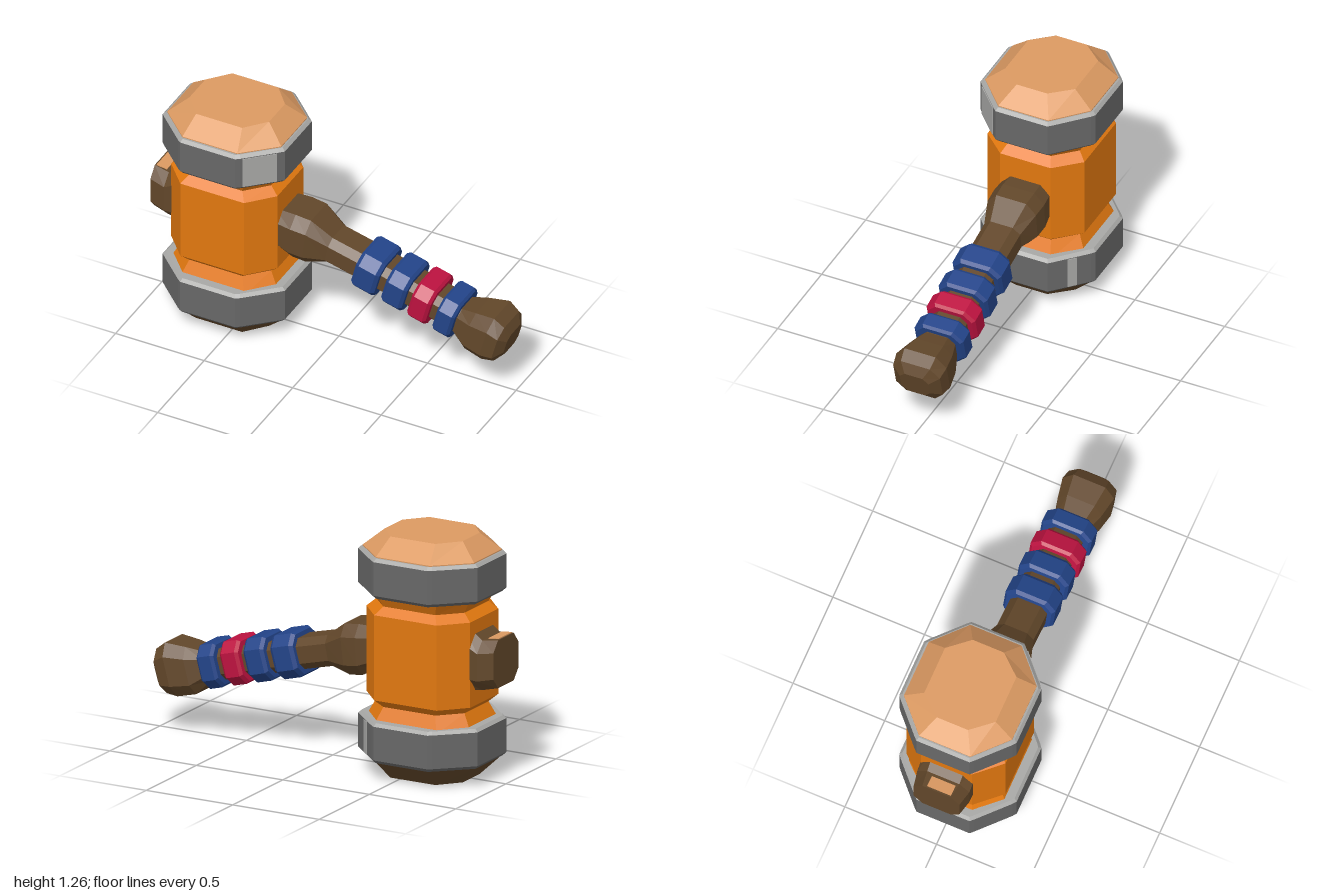
import * as THREE from 'three';

const flat = (name, color, opts = {}) => {
  const m = new THREE.MeshStandardMaterial({ color, flatShading: true, ...opts });
  m.name = name;
  return m;
};

// Mirrors a quadrant of [across, along] points into a full closed outline
function outline(q) {
  const r = [...q].reverse();
  return [
    ...q,
    ...r.map(([a, b]) => [a, -b]),
    ...q.map(([a, b]) => [-a, -b]),
    ...r.map(([a, b]) => [-a, b]),
  ];
}

// Skins a closed solid over a list of point rings
function loft(rings) {
  const pos = [];
  const tri = (...pts) => pts.forEach((p) => pos.push(p.x, p.y, p.z));
  const n = rings[0].length;
  for (let s = 0; s < rings.length - 1; s++) {
    for (let i = 0; i < n; i++) {
      const j = (i + 1) % n;
      const [a, b, c, d] = [rings[s][i], rings[s][j], rings[s + 1][j], rings[s + 1][i]];
      tri(a, b, c);
      tri(a, c, d);
    }
  }
  const first = rings[0], last = rings[rings.length - 1];
  for (let i = 1; i < n - 1; i++) {
    tri(first[0], first[i + 1], first[i]);
    tri(last[0], last[i], last[i + 1]);
  }
  const g = new THREE.BufferGeometry();
  g.setAttribute('position', new THREE.Float32BufferAttribute(pos, 3));
  g.computeVertexNormals();
  return g;
}

// Horizontal ring for the head
const level = (y, q) => outline(q).map(([x, z]) => new THREE.Vector3(x, y, z));
const scaled = (q, s) => q.map(([x, z]) => [x * s, z * s]);

// Octagonal ring across the handle: position, tilt, half height, half depth
function across([x, y, tilt, h, d]) {
  return outline([[d * 0.62, h], [d, h * 0.55]]).map(([z, v]) =>
    new THREE.Vector3(x - Math.sin(tilt) * v, y + Math.cos(tilt) * v, z));
}

export function createModel() {
  const orange = flat('orange paint', 0xe2780f);
  const tan = flat('pale wood', 0xdc9a62);
  const brown = flat('dark wood', 0x62472a);
  const steel = flat('dark steel', 0x686868);
  const worn = flat('worn steel', 0xa8a8a6);
  const blue = flat('blue wrap', 0x234489);
  const red = flat('red wrap', 0xbd1240);

  const model = new THREE.Group();
  const add = (parent, name, geometry, material) => {
    const mesh = new THREE.Mesh(geometry, material);
    mesh.name = name;
    parent.add(mesh);
    return mesh;
  };

  // Head
  const head = new THREE.Group();
  head.name = 'head';
  head.position.x = -0.575;
  model.add(head);

  const wide = [[0.18, 0.27], [0.30, 0.14]];
  const neck = [[0.15, 0.23], [0.255, 0.12]];
  add(head, 'barrel', loft([
    level(0.29, wide), level(0.375, neck), level(0.415, wide),
    level(0.86, wide), level(0.90, neck), level(0.98, wide),
  ]), orange);

  // Steel bands with raised faces and worn upper rims
  const band = [[0.155, 0.32], [0.175, 0.305], [0.325, 0.165], [0.345, 0.145]];
  for (const [name, y0, y1] of [['lowerBand', 0.10, 0.31], ['upperBand', 0.96, 1.17]]) {
    add(head, name, loft([
      level(y0, scaled(band, 0.95)), level(y0 + 0.018, band), level(y1 - 0.016, band),
    ]), steel);
    add(head, name + 'Rim', loft([
      level(y1 - 0.016, band), level(y1, scaled(band, 0.955)),
    ]), worn);
  }

  // Striking faces
  const capBase = [[0.155, 0.295], [0.322, 0.14]];
  const capTip = [[0.13, 0.195], [0.225, 0.085]];
  add(head, 'topFace', loft([level(1.15, capBase), level(1.175, capBase), level(1.26, capTip)]), tan);
  add(head, 'bottomFace', loft([level(0, capTip), level(0.10, capBase), level(0.12, capBase)]), brown);

  // Worn patches on two corner faces of the bands
  const patch = (name, w, h, y, side) => {
    const m = add(head, name, new THREE.BoxGeometry(w, h, 0.008), worn);
    m.position.set(0.25, y, 0.235 * side);
    m.rotation.y = Math.atan2(0.14, 0.15 * side);
  };
  patch('upperWornPatch', 0.18, 0.17, 1.065, 1);
  patch('lowerWornPatch', 0.05, 0.17, 0.205, -1);

  // Handle
  const handle = new THREE.Group();
  handle.name = 'handle';
  model.add(handle);
  const tilt = -0.265;

  add(handle, 'shaft', loft([
    [-0.32, 0.63, 0, 0.105, 0.13], [-0.21, 0.605, -0.08, 0.132, 0.14],
    [-0.13, 0.595, -0.12, 0.132, 0.135], [-0.02, 0.565, -0.2, 0.08, 0.1],
    [0.14, 0.525, tilt, 0.08, 0.1], [0.72, 0.367, tilt, 0.08, 0.092],
  ].map(across)), brown);

  add(handle, 'knob', loft([
    [0.69, 0.373, tilt, 0.075, 0.09], [0.78, 0.342, tilt, 0.123, 0.12],
    [0.885, 0.335, tilt, 0.14, 0.14], [0.945, 0.317, tilt, 0.115, 0.13],
    [0.98, 0.31, tilt, 0.065, 0.08],
  ].map(across)), brown);

  add(handle, 'backStub', loft([
    [-1, 0.645, 0, 0.125, 0.125], [-0.915, 0.63, 0, 0.13, 0.142], [-0.8, 0.665, 0, 0.18, 0.145],
  ].map(across)), brown);
  const chip = add(handle, 'stubChip', new THREE.BoxGeometry(0.06, 0.008, 0.13), tan);
  chip.position.set(-0.962, 0.766, 0.01);
  chip.rotation.z = -0.12;

  // Grip wraps
  const wraps = [
    ['firstWrap', 0.212, 0.505, 0.135, blue], ['secondWrap', 0.375, 0.463, 0.12, blue],
    ['redWrap', 0.516, 0.425, 0.108, red], ['lastWrap', 0.655, 0.386, 0.1, blue],
  ];
  for (const [name, x, y, w, mat] of wraps) {
    const rings = [[-0.5, 0.9], [-0.36, 1], [0.36, 1], [0.5, 0.9]].map(([t, s]) => across([
      x + Math.cos(tilt) * w * t, y + Math.sin(tilt) * w * t, tilt, 0.114 * s, 0.136 * s,
    ]));
    add(handle, name, loft(rings), mat);
  }

  return model;
}
